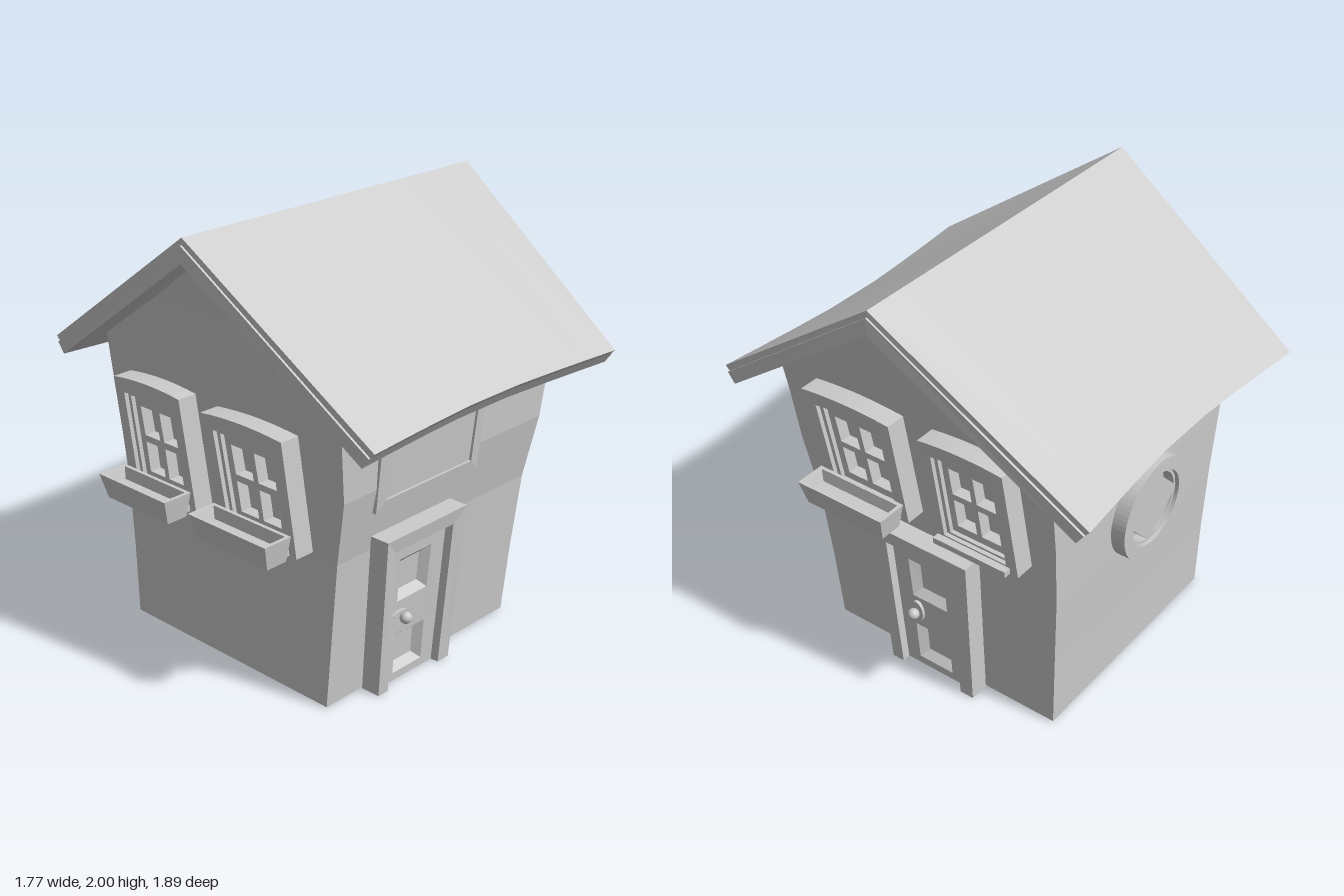
import * as THREE from 'three';

const flat = new THREE.MeshStandardMaterial({ color: 0xcccccc, flatShading: true });
const smooth = new THREE.MeshStandardMaterial({ color: 0xcccccc });

// Wall distance from the centre at each height: the walls lean outwards
const LEVELS = [0, 0.35, 0.7, 1, 1.27, 1.4, 1.65, 1.9];
const WALLS = {
  right: [0.57, 0.582, 0.6, 0.625, 0.66, 0.68, 0.72, 0.76],
  left: [0.61, 0.61, 0.615, 0.64, 0.67, 0.685, 0.72, 0.76],
  front: [0.55, 0.58, 0.615, 0.675, 0.69, 0.7, 0.37, 0.03],
  back: [0.66, 0.67, 0.685, 0.695, 0.7, 0.7, 0.32, -0.03],
};

function wallAt(side, y) {
  let i = 0;
  while (i < LEVELS.length - 2 && y > LEVELS[i + 1]) i++;
  const t = (y - LEVELS[i]) / (LEVELS[i + 1] - LEVELS[i]);
  return THREE.MathUtils.lerp(WALLS[side][i], WALLS[side][i + 1], t);
}

// Puts geometry drawn as (across, height, depth) onto a leaning wall
function ontoWall(geo, side) {
  const p = geo.attributes.position;
  for (let i = 0; i < p.count; i++) {
    const u = p.getX(i), y = p.getY(i), d = p.getZ(i) + wallAt(side, y);
    if (side === 'front') p.setXYZ(i, u, y, d);
    if (side === 'back') p.setXYZ(i, -u, y, -d);
    if (side === 'right') p.setXYZ(i, d, y, -u);
    if (side === 'left') p.setXYZ(i, -d, y, u);
  }
  geo.computeVertexNormals();
  return geo;
}

// Skins a row of equal rings and caps both ends
function loft(rings) {
  const n = rings[0].length, index = [];
  for (let r = 0; r < rings.length - 1; r++)
    for (let j = 0; j < n; j++) {
      const a = r * n + j, b = r * n + (j + 1) % n;
      index.push(a, b, b + n, a, b + n, a + n);
    }
  const e = (rings.length - 1) * n;
  for (let j = 1; j < n - 1; j++) index.push(0, j + 1, j, e, e + j, e + j + 1);
  const geo = new THREE.BufferGeometry();
  geo.setAttribute('position', new THREE.Float32BufferAttribute(rings.flat(2), 3));
  geo.setIndex(index);
  geo.computeVertexNormals();
  return geo;
}

const poly = (pts) => new THREE.Shape(pts.map(([x, y]) => new THREE.Vector2(x, y)));

function plate(outline, holes, depth) {
  outline.holes = holes;
  return new THREE.ExtrudeGeometry(outline, { depth, bevelEnabled: false, curveSegments: 8 });
}

function add(group, name, geo, material = flat) {
  const mesh = new THREE.Mesh(geo, material);
  mesh.name = name;
  group.add(mesh);
  return mesh;
}

function block(u0, u1, y0, y1, depth) {
  return new THREE.BoxGeometry(u1 - u0, y1 - y0, depth)
    .translate((u0 + u1) / 2, (y0 + y1) / 2, depth / 2);
}

// Patch of a skewed quad (corners: bottom left, bottom right, top right, top left)
function patch(q, s0, s1, t0, t1) {
  const at = (s, t) => [0, 1].map((k) =>
    (q[0][k] * (1 - s) + q[1][k] * s) * (1 - t) + (q[3][k] * (1 - s) + q[2][k] * s) * t);
  return [at(s0, t0), at(s1, t0), at(s1, t1), at(s0, t1)];
}

// Four-sided outline with a gently arched top
function arched(q, rise) {
  const s = new THREE.Shape();
  s.moveTo(...q[0]);
  s.lineTo(...q[1]);
  s.lineTo(...q[2]);
  s.quadraticCurveTo((q[2][0] + q[3][0]) / 2, (q[2][1] + q[3][1]) / 2 + rise, ...q[3]);
  s.closePath();
  return s;
}

function makeWindow(side, quad, du, dy, hasBox) {
  const g = new THREE.Group();
  g.name = side + 'Window';
  const q = quad.map(([u, y]) => [u + du, y + dy]);
  const opening = () => patch(q, 0.13, 0.87, 0.08, 0.88);
  const inner = patch(q, 0.17, 0.83, 0.1, 0.85);
  add(g, 'windowFrame', ontoWall(plate(arched(q, 0.03), [arched(opening(), 0.025)], 0.095), side));
  add(g, 'windowInnerFrame', ontoWall(plate(arched(opening(), 0.025), [arched(inner, 0.02)], 0.075), side));
  const panes = [];
  for (const [s0, s1] of [[0.24, 0.47], [0.53, 0.76]])
    for (const [t0, t1] of [[0.17, 0.44], [0.5, 0.76]]) panes.push(poly(patch(q, s0, s1, t0, t1)));
  add(g, 'windowSash', ontoWall(plate(arched(inner, 0.02), panes, 0.055), side));
  const y = q[0][1], a = q[0][0], b = q[1][0];
  add(g, 'windowSill', ontoWall(block(a + 0.02, b - 0.04, y + 0.005, y + 0.035, 0.13), side));
  if (hasBox) {
    const ring = (inset, h) => [
      [a + inset, y + h, 0.26 - inset], [b - inset, y + h, 0.26 - inset],
      [b - inset, y + h, 0.115 + inset], [a + inset, y + h, 0.115 + inset]];
    add(g, 'flowerBox', ontoWall(loft([ring(0.02, 0), ring(0, 0.115), ring(0.017, 0.115), ring(0.03, 0.06)]), side));
  }
  return g;
}

function makeDoor(side, du, uprightPlate) {
  const g = new THREE.Group();
  g.name = side + 'Door';
  const move = (pts) => pts.map(([u, y]) => [u + du, y]);
  const opening = move([[-0.33, 0], [0, 0], [0, 0.7], [-0.37, 0.7]]);
  const [bl, br, tr, tl] = opening;
  const outer = move([[0.07, 0], [0.07, 0.77], [-0.43, 0.77], [-0.39, 0]]);
  add(g, 'doorFrame', ontoWall(plate(poly([bl, tl, tr, br, ...outer]), [], 0.095), side));
  // Door leaf with two sunken, bevelled panels
  const panels = [
    move([[-0.275, 0.41], [-0.085, 0.41], [-0.085, 0.62], [-0.285, 0.62]]),
    move([[-0.26, 0.04], [-0.075, 0.04], [-0.08, 0.24], [-0.27, 0.24]])];
  add(g, 'doorLeaf', ontoWall(plate(poly(opening), panels.map(poly), 0.055), side));
  for (const p of panels) {
    const ring = (pts, d) => pts.map(([u, y]) => [u, y, d]);
    add(g, 'doorPanel', ontoWall(loft([ring(p, 0.055), ring(patch(p, 0.17, 0.83, 0.17, 0.83), 0.02)]), side));
  }
  // Handle
  const [rx, ry] = uprightPlate ? [0.035, 0.06] : [0.06, 0.035];
  const ku = -0.25 + du, ky = 0.33;
  const back = new THREE.CylinderGeometry(1, 1, 0.02, 16).rotateX(Math.PI / 2).scale(rx, ry, 1);
  add(g, 'handlePlate', ontoWall(back.translate(ku - (uprightPlate ? 0 : 0.01), ky, 0.06), side));
  const stem = new THREE.CylinderGeometry(0.013, 0.013, 0.04, 10).rotateX(Math.PI / 2);
  add(g, 'knobStem', ontoWall(stem.translate(ku, ky, 0.08), side));
  add(g, 'knob', ontoWall(new THREE.SphereGeometry(0.027, 16, 12).translate(ku, ky + 0.005, 0.092), side), smooth);
  return g;
}

// Gabled slab: narrower at the eaves, whose line bows inwards at mid length
function roofLayer(top, under, eaveTop, eaveUnder, extra) {
  const rings = [-1, -0.75, -0.5, -0.2, 0.2, 0.5, 0.75, 1].map((t) => {
    const bow = 0.05 * (1 - Math.max(0, (Math.abs(t) - 0.2) / 0.8) ** 1.2);
    const ridge = (0.865 + extra) * t, eave = (0.77 + extra) * t;
    return [
      [ridge, top, 0.025],
      [eave, eaveTop[1], eaveTop[0] - bow], [eave, eaveUnder[1], eaveUnder[0] - bow],
      [ridge, under, 0.025],
      [eave, eaveUnder[1], 0.005 - eaveUnder[0] + bow], [eave, eaveTop[1], 0.005 - eaveTop[0] + bow]];
  });
  return loft(rings);
}

export function createModel() {
  const house = new THREE.Group();
  house.name = 'house';

  // Leaning walls rising into the gable
  add(house, 'walls', loft(LEVELS.map((y, i) => {
    const { left, right, front, back } = WALLS;
    const h = Math.max(y, 0.005);
    return [[-left[i], h, front[i]], [right[i], h, front[i]], [right[i], h, -back[i]], [-left[i], h, -back[i]]];
  })));

  // Roof
  add(house, 'roofCover', roofLayer(2, 1.97, [0.95, 1.34], [0.93, 1.318], 0));
  add(house, 'roofBoards', roofLayer(1.97, 1.895, [0.93, 1.318], [0.895, 1.27], 0.01));

  // Doors
  house.add(makeDoor('front', 0, false), makeDoor('right', 0.22, true));

  // Side windows
  const first = [[-0.455, 0.89], [0, 0.89], [-0.03, 1.41], [-0.5, 1.405]];
  const second = [[0.14, 0.88], [0.57, 0.88], [0.54, 1.415], [0.12, 1.41]];
  house.add(
    makeWindow('right', first, 0, 0, true), makeWindow('right', second, 0, 0, false),
    makeWindow('left', first, 0.48, -0.175, true), makeWindow('left', second, -0.69, -0.165, true));

  // Shallow framed board above the front door
  const board = [[-0.45, 0.89], [0.19, 0.89], [0.2, 1.24], [-0.45, 1.24]];
  const field = [[-0.4, 0.94], [0.14, 0.94], [0.15, 1.19], [-0.4, 1.19]];
  add(house, 'boardFrame', ontoWall(plate(poly(board), [poly(field)], 0.02), 'front'));
  add(house, 'boardField', ontoWall(plate(poly(field), [], 0.008), 'front'));

  // Round back window with a cross of bars
  const disc = (r) => new THREE.Shape().absarc(0.03, 0.858, r, 0, Math.PI * 2);
  const quarters = [0, 1, 2, 3].map((k) => {
    const a = k * Math.PI / 2, gap = 0.025, r = 0.165, trim = Math.asin(gap / r);
    const s = new THREE.Shape();
    const turn = Math.SQRT2 * gap;
    s.moveTo(0.03 + turn * Math.cos(a + Math.PI / 4), 0.858 + turn * Math.sin(a + Math.PI / 4));
    s.absarc(0.03, 0.858, r, a + trim, a + Math.PI / 2 - trim);
    s.closePath();
    return s;
  });
  add(house, 'roundWindowRim', ontoWall(
    new THREE.ExtrudeGeometry(Object.assign(disc(0.245), { holes: [disc(0.18)] }),
      { depth: 0.068, bevelEnabled: false, curveSegments: 32 }), 'back'));
  add(house, 'roundWindowBars', ontoWall(plate(disc(0.182), quarters, 0.05), 'back'));

  return house;
}
